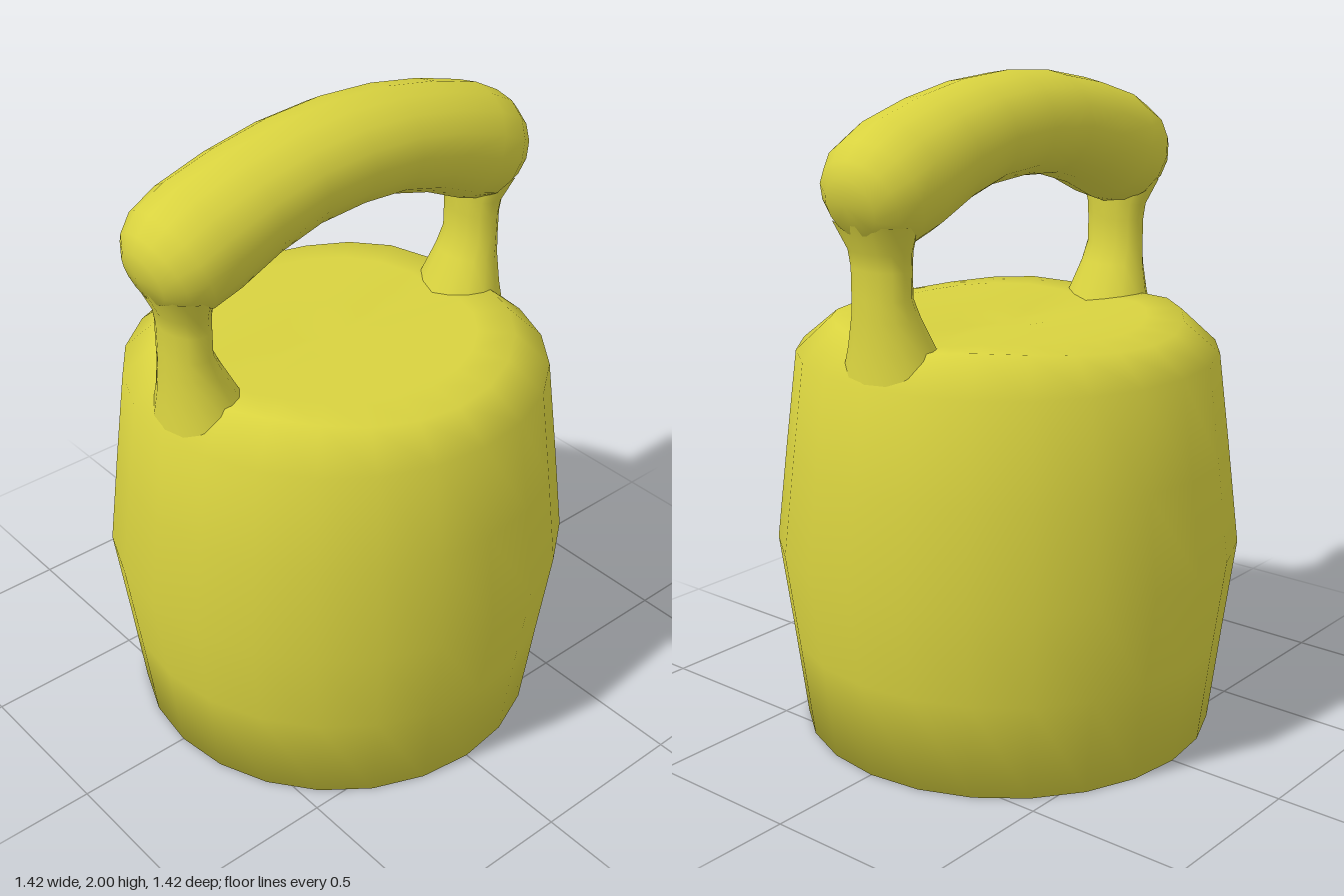
import * as THREE from 'three';
import { mergeVertices } from 'three/addons/utils/BufferGeometryUtils.js';

const material = new THREE.MeshStandardMaterial({ color: 0xd8d23f });

// Weld the seams so that shading runs smoothly over the whole part
function smooth(geometry) {
  geometry.deleteAttribute('uv');
  geometry.deleteAttribute('normal');
  const welded = mergeVertices(geometry, 1e-4);
  welded.computeVertexNormals();
  return welded;
}

// Skin elliptical rings [x, y, tilt, radius in the xy plane, radius along z]
function loft(rings, sides) {
  const positions = [], index = [];
  rings.forEach(([x, y, tilt, ra, rz], i) => {
    for (let j = 0; j < sides; j++) {
      const a = (j / sides) * Math.PI * 2, r = ra * Math.cos(a);
      positions.push(x - Math.sin(tilt) * r, y + Math.cos(tilt) * r, rz * Math.sin(a));
      if (i === rings.length - 1) continue;
      const p = i * sides + j, q = i * sides + ((j + 1) % sides);
      index.push(p, q, p + sides, q, q + sides, p + sides);
    }
  });
  const geometry = new THREE.BufferGeometry();
  geometry.setAttribute('position', new THREE.Float32BufferAttribute(positions, 3));
  geometry.setIndex(index);
  return smooth(geometry);
}

function add(group, name, geometry) {
  const mesh = new THREE.Mesh(geometry, material);
  mesh.name = name;
  group.add(mesh);
}

// Barrel-shaped weight; its top has a shallow groove along x under the handle
function bodyGeometry() {
  const profile = [
    [0, 0], [0.35, 0], [0.635, 0], [0.672, 0.3], [0.71, 0.59], [0.675, 0.885], [0.638, 1.18],
    [0.53, 1.25], [0.42, 1.25], [0.3, 1.25], [0.15, 1.25], [0, 1.25],
  ].map(([r, y]) => new THREE.Vector2(r, y));
  const geometry = new THREE.LatheGeometry(profile, 24);
  const p = geometry.attributes.position;
  for (let i = 0; i < p.count; i++) {
    if (p.getY(i) > 1.2) {
      p.setY(i, 1.25 + 0.034 * Math.sin((Math.PI * Math.abs(p.getZ(i))) / 0.58));
    }
  }
  return smooth(geometry);
}

export function createModel() {
  const group = new THREE.Group();
  group.name = 'kettlebell';

  add(group, 'body', bodyGeometry());

  // Arched grip with rounded ends: half the rings, then mirrored
  const half = [
    [0.17, 1.834, -0.11, 0.155, 0.18],
    [0.33, 1.797, -0.25, 0.162, 0.182],
    [0.48, 1.742, -0.36, 0.174, 0.183],
    [0.57, 1.703, -0.38, 0.165, 0.175],
    [0.625, 1.685, -0.38, 0.132, 0.142],
    [0.665, 1.68, -0.3, 0.085, 0.088],
    [0.687, 1.69, -0.2, 0, 0],
  ];
  const mirrored = half.map(([x, y, t, a, z]) => [-x, y, -t, a, z]).reverse();
  add(group, 'grip', loft([...mirrored, [0, 1.845, 0, 0.155, 0.18], ...half], 16));

  // Posts that flare into the body below and the grip above
  const post = [
    [0.49, 1.17, 0.14, 0.17],
    [0.51, 1.27, 0.108, 0.135],
    [0.532, 1.36, 0.082, 0.108],
    [0.546, 1.42, 0.066, 0.1],
    [0.546, 1.5, 0.066, 0.1],
    [0.55, 1.55, 0.07, 0.105],
    [0.567, 1.63, 0.09, 0.14],
  ];
  for (const [name, side] of [['leftPost', 1], ['rightPost', -1]]) {
    add(group, name, loft(post.map(([x, y, rx, rz]) => [side * x, y, Math.PI / 2, rx, rz]), 14));
  }
  return group;
}
